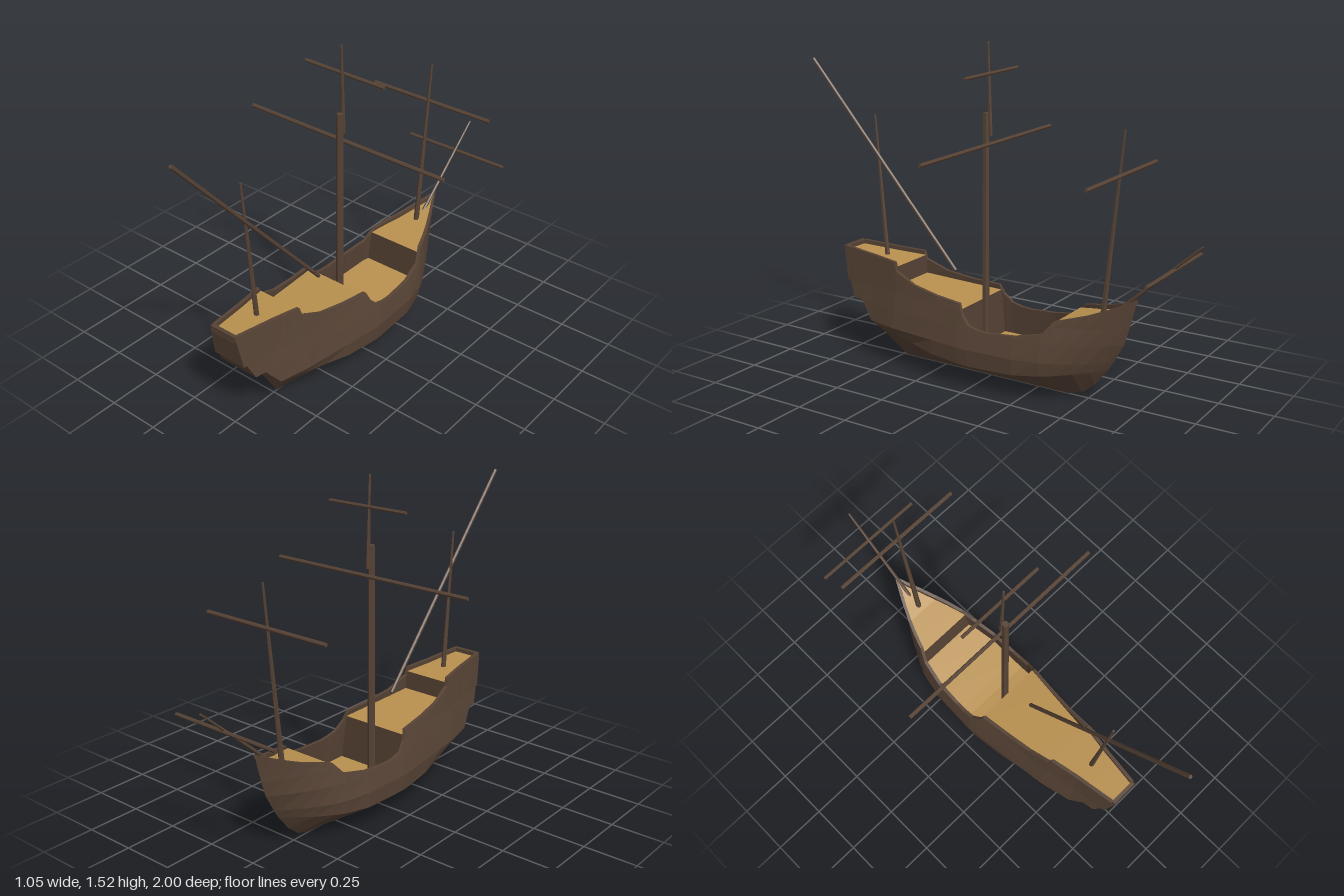
import * as THREE from 'three';

const wood = new THREE.MeshStandardMaterial({ color: 0x574335, flatShading: true, side: THREE.DoubleSide });
const plank = new THREE.MeshStandardMaterial({ color: 0xb8904f, flatShading: true, side: THREE.DoubleSide });

// Linear interpolation in a table of [key, value] pairs with ascending keys
function lookup(table, k) {
  if (k <= table[0][0]) return table[0][1];
  for (let i = 1; i < table.length; i++) {
    const [a, va] = table[i - 1], [b, vb] = table[i];
    if (k <= b) return va + (vb - va) * (k - a) / (b - a);
  }
  return table[table.length - 1][1];
}

// Hull lines; the stern lies at +z, the bow at -z
const RAIL = [[-0.72, 0.49], [-0.65, 0.455], [-0.55, 0.415], [-0.4, 0.375], [-0.35, 0.315], [-0.23, 0.29], [-0.1, 0.28],
  [-0.05, 0.283], [0, 0.295], [0.04, 0.335], [0.06, 0.38], [0.2, 0.39], [0.33, 0.41], [0.44, 0.455], [0.45, 0.495], [0.79, 0.515]];
const STEM = [[0, -0.42], [0.02, -0.47], [0.07, -0.53], [0.16, -0.6], [0.27, -0.66], [0.4, -0.7], [0.49, -0.72]];
const KEEL = [[-0.59, 0.147], [-0.53, 0.07], [-0.47, 0.02], [-0.42, 0]];
const BEAM = [[-0.2, 0.212], [0, 0.22], [0.05, 0.218], [0.44, 0.168], [0.6, 0.13], [0.66, 0.12], [0.79, 0.095]];
const FLARE = [[0.11, 0.95], [0.18, 1], [0.28, 0.91], [0.38, 0.8], [0.5, 0.74]];
const CHINE = [[-0.59, 0.148], [-0.4, 0.13], [-0.2, 0.113], [0, 0.11], [0.2, 0.12], [0.43, 0.15]];
const STATIONS = [0.79, 0.72, 0.66, 0.59, 0.53, 0.48, 0.45, 0.44, 0.33, 0.2, 0.06, 0.04, 0, -0.05, -0.1, -0.23,
  -0.35, -0.4, -0.47, -0.53, -0.6, -0.66, -0.72];

// Half width of the hull at a position and height, closing at the stem
function halfWidth(z, y) {
  const t = Math.min(1, Math.max(0, (-0.2 - z) / (-0.2 - lookup(STEM, y))));
  return lookup(BEAM, z) * lookup(FLARE, y) * (1 - t * t);
}

// Strakes from chine to rail: stern end and height (the doubled heights form the stern steps)
const STRAKES = [[0.59, 0.19], [0.66, 0.275], [0.71, 0.275], [0.745, 0.35], [0.76, 0.35], [0.79, 1]];

// One cross-section, from one rail under the keel to the other
function section(z) {
  const zk = Math.max(-0.59, Math.min(0.48, z));
  const zc = Math.max(-0.59, Math.min(0.54, z));
  const yc = lookup(CHINE, zc);
  const side = [[halfWidth(zc, yc) * (1 - Math.max(0, zc - 0.2) * 0.6), yc, zc]];
  for (const [end, level] of STRAKES) {
    let zs = Math.min(end, z);
    const y = Math.min(level, lookup(RAIL, zs));
    zs = Math.max(zs, lookup(STEM, y));
    side.push([halfWidth(zs, y), y, zs]);
  }
  const port = side.map(([x, y, w]) => [-x, y, w]).reverse();
  return [...port, [0, lookup(KEEL, zk), zk], ...side];
}

// Surface through a list of equal-length point rows
function grid(name, rows, material) {
  const pos = [];
  for (let i = 0; i < rows.length - 1; i++) {
    for (let j = 0; j < rows[i].length - 1; j++) {
      const a = rows[i][j], b = rows[i + 1][j], c = rows[i + 1][j + 1], d = rows[i][j + 1];
      pos.push(...a, ...b, ...c, ...a, ...c, ...d);
    }
  }
  const g = new THREE.BufferGeometry();
  g.setAttribute('position', new THREE.Float32BufferAttribute(pos, 3));
  g.computeVertexNormals();
  const mesh = new THREE.Mesh(g, material);
  mesh.name = name;
  return mesh;
}

// Tapered round timber between two points
function spar(name, from, to, r0, r1 = r0) {
  const a = new THREE.Vector3(...from), b = new THREE.Vector3(...to);
  const dir = b.clone().sub(a);
  const mesh = new THREE.Mesh(new THREE.CylinderGeometry(r1, r0, dir.length(), 6), wood);
  mesh.position.copy(a).add(b).multiplyScalar(0.5);
  mesh.quaternion.setFromUnitVectors(new THREE.Vector3(0, 1, 0), dir.normalize());
  mesh.name = name;
  return mesh;
}

const inner = (z, y) => Math.max(0, halfWidth(z, y) - 0.016);

// Deck with the inside of its bulwarks and the rail tops
function deck(name, levels) {
  const group = new THREE.Group();
  group.name = name;
  const z0 = levels[0][0], z1 = levels[levels.length - 1][0];
  const zs = [z1, ...STATIONS.filter(z => z < z1 - 0.001 && z > z0 + 0.001), z0];
  group.add(grid(name + 'Planks', zs.map(z => {
    const y = lookup(levels, z), w = inner(z, y);
    return [[w, y, z], [-w, y, z]];
  }), plank));
  for (const s of [1, -1]) {
    group.add(grid(name + 'Bulwark', zs.map(z => {
      const y = lookup(levels, z), r = lookup(RAIL, z);
      const pts = [[s * halfWidth(z, r), r, z], [s * inner(z, r), r, z], [s * inner(z, y), Math.min(y, r), z]];
      return s > 0 ? pts : pts.reverse();
    }), wood));
  }
  return group;
}

// Upright wall at a break between two decks
function bulkhead(name, z, top, bottom, facing) {
  const row = y => [[-facing * inner(z, y), y, z], [facing * inner(z, y), y, z]];
  return grid(name, [row(top), row(bottom)], wood);
}

export function createModel() {
  const ship = new THREE.Group();
  ship.name = 'sailingShip';

  // Hull shell and stepped stern
  const sections = STATIONS.map(section);
  ship.add(grid('hull', sections, wood));
  const end = sections[0], n = end.length;
  const half = (n - 1) / 2;
  ship.add(grid('transom', end.slice(0, half + 1).map((p, j) => [p, end[n - 1 - j]]), wood));
  const sternRail = new THREE.Mesh(new THREE.BoxGeometry(0.13, 0.03, 0.018), wood);
  sternRail.position.set(0, 0.499, 0.78);
  sternRail.name = 'sternRail';
  ship.add(sternRail);

  // Decks and the walls between them
  ship.add(deck('aftDeck', [[0.44, 0.475], [0.775, 0.495]]));
  ship.add(deck('halfDeck', [[0.05, 0.355], [0.44, 0.385]]));
  ship.add(deck('waistDeck', [[-0.38, 0.195], [-0.2, 0.155], [-0.05, 0.14], [0.05, 0.14]]));
  ship.add(deck('foreDeck', [[-0.72, 0.47], [-0.55, 0.395], [-0.38, 0.355]]));
  ship.add(bulkhead('aftBulkhead', 0.44, 0.475, 0.385, -1));
  ship.add(bulkhead('waistBulkhead', 0.05, 0.355, 0.14, -1));
  ship.add(bulkhead('foreBulkhead', -0.38, 0.355, 0.195, 1));

  // Masts and bowsprit
  ship.add(spar('mainMast', [0, 0.13, 0.032], [0, 1.21, 0.03], 0.018, 0.015));
  ship.add(spar('topMast', [0, 1.11, 0.006], [0, 1.52, 0.018], 0.01, 0.005));
  ship.add(spar('mizzenMast', [0, 0.47, 0.585], [0, 1.15, 0.64], 0.012, 0.005));
  ship.add(spar('foreMast', [0, 0.39, -0.56], [0, 1.2, -0.64], 0.013, 0.005));
  ship.add(spar('bowsprit', [0, 0.4, -0.6], [0, 0.76, -0.997], 0.009, 0.005));

  // Yards
  ship.add(spar('mainYard', [-0.525, 1.077, 0.008], [0.525, 1.07, 0.008], 0.009));
  ship.add(spar('topYard', [-0.21, 1.387, 0], [0.21, 1.382, 0], 0.008));
  ship.add(spar('foreYard', [-0.325, 1.013, -0.637], [0.325, 1.01, -0.637], 0.009));
  ship.add(spar('spritYard', [-0.277, 0.646, -0.88], [0.277, 0.646, -0.88], 0.008));
  ship.add(spar('lateenYard', [0.008, 0.47, 0.19], [0.008, 1.385, 0.995], 0.009));
  return ship;
}
